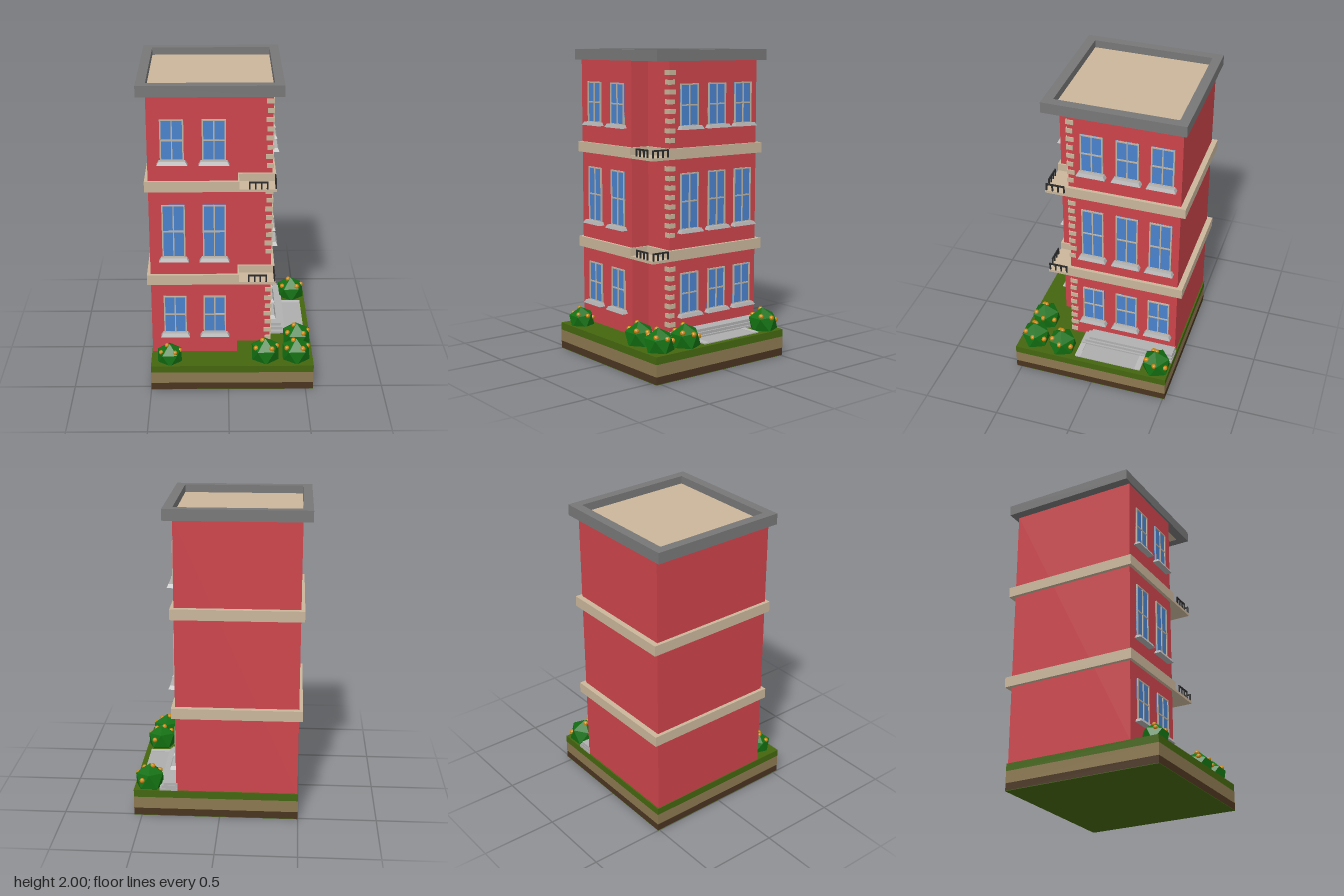
import * as THREE from 'three';

const mat = (color, flat = false) => new THREE.MeshStandardMaterial({ color, flatShading: flat });
const M = {
  brick: mat(0xcc444b), stone: mat(0xcab69b), roof: mat(0x777777), glass: mat(0x4a82cc),
  frame: mat(0xbdb4a6), sill: mat(0xb0b0b0), path: mat(0xadadad), edge: mat(0xbababa),
  iron: mat(0x2a2a2a), grass: mat(0x44660f), soil: mat(0x8c7850), dirt: mat(0x4a3420),
  leaf: mat(0x127012, true), flower: mat(0xc8860f, true),
};

function add(parent, name, geometry, material) {
  const mesh = new THREE.Mesh(geometry, material);
  mesh.name = name;
  parent.add(mesh);
  return mesh;
}

// Box given by its limits on each axis
function box(parent, name, material, x0, x1, y0, y1, z0, z1) {
  const mesh = add(parent, name, new THREE.BoxGeometry(x1 - x0, y1 - y0, z1 - z0), material);
  mesh.position.set((x0 + x1) / 2, (y0 + y1) / 2, (z0 + z1) / 2);
  return mesh;
}

// Vertical prism from a floor plan of [x, z] corners, with an optional hole
function prism(parent, name, material, plan, y0, y1, hole) {
  const toPoints = (p) => p.map(([x, z]) => new THREE.Vector2(x, -z));
  const shape = new THREE.Shape(toPoints(plan));
  if (hole) shape.holes.push(new THREE.Path(toPoints(hole)));
  const geo = new THREE.ExtrudeGeometry(shape, { depth: y1 - y0, bevelEnabled: false });
  geo.rotateX(-Math.PI / 2).translate(0, y0, 0);
  return add(parent, name, geo, material);
}

const rect = (x0, x1, z0, z1) => [[x0, z1], [x1, z1], [x1, z0], [x0, z0]];
const notched = (x0, x1, z0, z1, nx, nz) => [[x0, z1], [nx, z1], [nx, nz], [x1, nz], [x1, z0], [x0, z0]];

// Sill whose lower edge is wider and deeper than its top
function sillGeometry() {
  const geo = new THREE.BoxGeometry(0.188, 0.022, 0.043);
  const p = geo.attributes.position;
  for (let i = 0; i < p.count; i++) {
    if (p.getY(i) > 0) {
      p.setX(i, p.getX(i) * 0.86);
      if (p.getZ(i) > 0) p.setZ(i, p.getZ(i) - 0.01);
    }
  }
  geo.translate(0, -0.006, 0.0215);
  geo.computeVertexNormals();
  return geo;
}

// Window facing +z with its bottom centre at the origin
function makeWindow(height) {
  const g = new THREE.Group(), w = 0.073, t = 0.009;
  g.name = 'window';
  box(g, 'windowGlass', M.glass, -w, w, 0, height, -0.002, 0.004);
  for (const x of [-w, -0.004, w - t]) box(g, 'windowUpright', M.frame, x, x + (x === -0.004 ? 0.008 : t), 0, height, 0, 0.01);
  for (const y of [0, height / 2 - 0.004, height - t]) box(g, 'windowCrossbar', M.frame, -w, w, y, y + t, 0, 0.0095);
  add(g, 'windowSill', sillGeometry(), M.sill);
  return g;
}

function makeBush(x, z, r) {
  const g = new THREE.Group();
  g.name = 'bush';
  const geo = new THREE.IcosahedronGeometry(r, 0);
  geo.rotateZ(-0.553).rotateY(0.35).rotateX(0.1);
  add(g, 'leaves', geo, M.leaf);
  const spots = [[0.4, 0.15, -0.7], [-0.18, 0.85, 0.05], [0.4, 0.52, 0.55], [-0.6, 0.45, 0.35], [0.72, 0.4, -0.05]];
  for (const s of spots) {
    const f = add(g, 'flower', new THREE.IcosahedronGeometry(r * 0.17, 1), M.flower);
    f.position.set(...s).multiplyScalar(r);
  }
  g.position.set(x, 0.32 - (0.102 - r) * 2 - r, z);
  return g;
}

// Railing along +x starting at the origin
function makeRailing(length) {
  const g = new THREE.Group(), n = 4;
  g.name = 'railing';
  box(g, 'handrail', M.iron, 0, length, 0.042, 0.052, -0.004, 0.004);
  for (let i = 0; i < n; i++) {
    const x = (length - 0.01) * i / (n - 1);
    box(g, 'baluster', M.iron, x, x + 0.01, 0, 0.045, -0.004, 0.004);
  }
  return g;
}

export function createModel() {
  const model = new THREE.Group();

  // Layered plot of ground
  [['groundUnderside', M.grass, 0, 0.003], ['dirtLayer', M.dirt, 0.003, 0.05],
    ['soilLayer', M.soil, 0.05, 0.127], ['grass', M.grass, 0.127, 0.175]]
    .forEach(([name, m, y0, y1]) => box(model, name, m, -0.5, 0.55, y0, y1, -0.512, 0.535));

  // Walls with a recessed front corner
  prism(model, 'walls', M.brick, notched(-0.495, 0.278, -0.503, 0.35, 0.058, 0.22), 0.17, 1.935);

  // Roof slab, parapet and roof floor
  prism(model, 'parapet', M.roof, rect(-0.555, 0.338, -0.535, 0.362), 1.93, 2, rect(-0.495, 0.278, -0.475, 0.3));
  box(model, 'roofFloor', M.stone, -0.496, 0.279, 1.931, 1.95, -0.476, 0.301);

  // Floor bands, each with a corner balcony
  for (const y of [0.68, 1.322]) {
    prism(model, 'floorBand', M.stone, notched(-0.518, 0.3, -0.538, 0.37, 0.068, 0.238), y, y + 0.068);
    box(model, 'balconyFloor', M.stone, 0.066, 0.3, y, y + 0.018, 0.23, 0.37);
    const front = makeRailing(0.12);
    front.position.set(0.126, y + 0.016, 0.365);
    const side = makeRailing(0.125);
    side.rotation.y = Math.PI / 2;
    side.position.set(0.295, y + 0.016, 0.367);
    model.add(front, side);
  }

  // Corner stones, eight to a storey
  for (const top of [0.64, 1.278, 1.875]) {
    for (let i = 0; i < 8; i++) {
      const y = top - i * 0.06, s = i % 2 ? 0.043 : 0.05;
      box(model, 'cornerStone', M.stone, 0.285 - s, 0.285, y - 0.03, y, 0.227 - s, 0.227);
    }
  }

  // Windows on the front and on the model's left side
  for (const [y, h] of [[0.323, 0.268], [0.868, 0.362], [1.522, 0.268]]) {
    for (const x of [-0.343, -0.087]) {
      const w = makeWindow(h);
      w.position.set(x, y, 0.35);
      model.add(w);
    }
    for (const z of [0.065, -0.161, -0.382]) {
      const w = makeWindow(h);
      w.rotation.y = Math.PI / 2;
      w.position.set(0.278, y, z);
      model.add(w);
    }
  }

  // Steps and paved path beside the building
  [[0.385, 0.19, 0.125], [0.372, 0.208, 0.1], [0.36, 0.226, 0.075]].forEach(([x, y, z], i) =>
    box(model, 'step', M.sill, 0.27, x, 0.17, y, -0.51 + i * 0.003, z));
  box(model, 'path', M.path, 0.38, 0.515, 0.17, 0.18, -0.29, 0.088);
  box(model, 'pathEdge', M.edge, 0.38, 0.515, 0.17, 0.183, -0.328, -0.29);
  box(model, 'pathEdge', M.edge, 0.38, 0.515, 0.17, 0.183, 0.088, 0.125);

  // Flowering bushes
  [[0.455, -0.424, 0.102], [0.455, 0.233, 0.102], [0.44, 0.428, 0.102],
    [0.24, 0.428, 0.102], [-0.38, 0.45, 0.09]]
    .forEach((b) => model.add(makeBush(...b)));

  return model;
}
